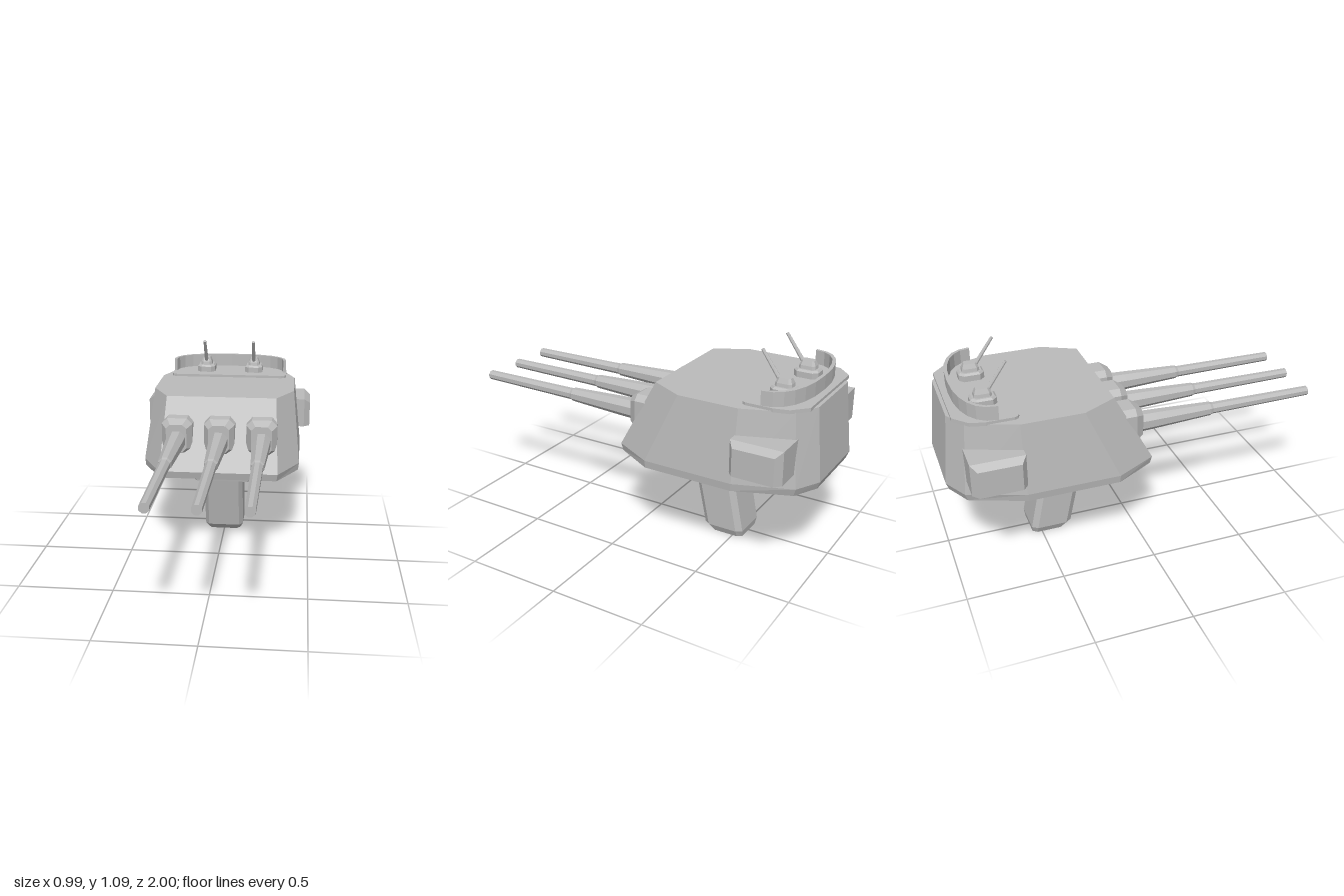
import * as THREE from 'three';

const steel = new THREE.MeshStandardMaterial({ color: 0xbababa, flatShading: true });
steel.name = 'steel grey';

// Closed solid through matching rings of [x, y, z] points, wound outwards.
function loft(name, rings) {
  const n = rings[0].length, tris = [];
  for (let k = 0; k < rings.length - 1; k++) {
    for (let i = 0; i < n; i++) {
      const j = (i + 1) % n;
      const a = rings[k][i], b = rings[k][j], c = rings[k + 1][j], d = rings[k + 1][i];
      tris.push([a, b, c], [a, c, d]);
    }
  }
  const first = rings[0], last = rings[rings.length - 1];
  for (let i = 1; i < n - 1; i++) {
    tris.push([first[0], first[i + 1], first[i]], [last[0], last[i], last[i + 1]]);
  }
  // Signed volume about a point of the solid decides the winding
  const [o, u, v, w] = [first[0], 0, 0, 0].map(() => new THREE.Vector3());
  o.fromArray(first[0]);
  let volume = 0;
  for (const [a, b, c] of tris) {
    u.fromArray(a).sub(o); v.fromArray(b).sub(o); w.fromArray(c).sub(o);
    volume += u.dot(v.cross(w));
  }
  if (volume < 0) tris.forEach(t => t.reverse());
  const geometry = new THREE.BufferGeometry();
  geometry.setAttribute('position', new THREE.Float32BufferAttribute(tris.flat(2), 3));
  geometry.computeVertexNormals();
  const mesh = new THREE.Mesh(geometry, steel);
  mesh.name = name;
  return mesh;
}

// Rectangle with cut corners as [u, v] pairs
function cutRect(u0, u1, v0, v1, cu, cv = cu) {
  return [[u0 + cu, v0], [u1 - cu, v0], [u1, v0 + cv], [u1, v1 - cv],
    [u1 - cu, v1], [u0 + cu, v1], [u0, v1 - cv], [u0, v0 + cv]];
}
const atY = (y, pts) => pts.map(([x, z]) => [x, y, z]);
const atZ = (z, pts) => pts.map(([x, y]) => [x, y, z]);
// Right half of an outline, completed by its mirror image
const mirrored = half => [...half, ...half.map(([x, z]) => [-x, z]).reverse()];

function octagon(r, cx = 0, cy = 0) {
  return Array.from({ length: 8 }, (_, i) => {
    const a = (i + 0.5) * Math.PI / 4;
    return [cx + r * Math.cos(a), cy + r * Math.sin(a)];
  });
}

// Armoured house with sloped faces and a bevelled lower edge
function makeHull() {
  const under = mirrored([[0.318, 0.04], [0.432, -0.165], [0.432, -0.64], [0.322, -0.918], [0.195, -0.985]]);
  const base = mirrored([[0.323, 0.05], [0.437, -0.165], [0.437, -0.645], [0.33, -0.93], [0.2, -1]]);
  const roof = mirrored([[0.303, -0.15], [0.397, -0.33], [0.397, -0.65], [0.305, -0.895], [0.19, -0.962]]);
  return loft('turretHouse', [atY(0.46, under), atY(0.5, base), atY(0.873, roof)]);
}

// Collar and raked stem below the house
function makeMount() {
  const group = new THREE.Group();
  group.name = 'mount';
  group.add(loft('collar', [
    atY(0.363, cutRect(-0.172, 0.172, -0.56, -0.2, 0.025, 0.045)),
    atY(0.47, cutRect(-0.196, 0.196, -0.58, -0.18, 0.033, 0.055)),
  ]));
  group.add(loft('stem', [
    atY(0, cutRect(-0.095, 0.095, -0.55, -0.37, 0.02, 0.025)),
    atY(0.037, cutRect(-0.112, 0.112, -0.555, -0.335, 0.022, 0.03)),
    atY(0.4, cutRect(-0.112, 0.112, -0.482, -0.257, 0.022, 0.03)),
  ]));
  return group;
}

// Mantlet and stepped barrel
function makeMainGun(x) {
  const group = new THREE.Group();
  group.name = 'mainGun';
  const block = (z, w, y0, y1, c) => atZ(z, cutRect(-w, w, y0, y1, c));
  group.add(loft('mantlet', [
    block(-0.14, 0.084, 0.577, 0.78, 0.03),
    block(-0.03, 0.084, 0.577, 0.78, 0.03),
    block(0.013, 0.056, 0.602, 0.755, 0.022),
  ]));
  const steps = [[-0.02, 0.055], [0.1, 0.051], [0.41, 0.037], [0.425, 0.031], [1, 0.026]];
  group.add(loft('barrel', steps.map(([z, r]) => atZ(z, octagon(r, 0, 0.668)))));
  group.position.x = x;
  return group;
}

// Bevelled box on the flank
function makeSideBox(side) {
  const ring = (x, y1, z0, z1) =>
    [[0.573, z0], [0.573, z1], [y1, z1], [y1, z0]].map(([y, z]) => [side * x, y, z]);
  return loft(side > 0 ? 'leftSideBox' : 'rightSideBox', [
    ring(0.27, 0.743, -0.915, -0.645),
    ring(0.46, 0.743, -0.915, -0.645),
    ring(0.494, 0.715, -0.885, -0.672),
  ]);
}

// Roof platform and its curved splinter shield
function makePlatform() {
  const group = new THREE.Group();
  group.name = 'roofPlatform';
  const outline = mirrored([[0.315, -0.633], [0.335, -0.642], [0.344, -0.66],
    [0.344, -0.80], [0.325, -0.875], [0.25, -0.945]]);
  group.add(loft('deck', [atY(0.868, outline), atY(0.887, outline)]));
  const sections = [];
  for (let i = 0; i <= 12; i++) {
    const a = Math.PI * i / 12;
    // flattened arc, thin in plan
    const x = Math.sign(Math.cos(a)) * Math.abs(Math.cos(a)) ** 0.85, z = Math.sin(a) ** 0.85;
    const outer = [0.342 * x, -0.735 - 0.178 * z], inner = [0.325 * x, -0.735 - 0.16 * z];
    sections.push([[outer[0], 0.88, outer[1]], [outer[0], 0.96, outer[1]],
      [inner[0], 0.96, inner[1]], [inner[0], 0.88, inner[1]]]);
  }
  group.add(loft('splinterShield', sections));
  return group;
}

// Small raised gun on a stepped pedestal
function makeSmallGun(x) {
  const group = new THREE.Group();
  group.name = 'smallGun';
  const tier = (y, w, d, c) => atY(y, cutRect(-w, w, -d, d, c));
  group.add(loft('pedestal', [tier(0.88, 0.053, 0.065, 0.024), tier(0.918, 0.053, 0.065, 0.024),
    tier(0.928, 0.044, 0.055, 0.02)]));
  group.add(loft('gunHousing', [tier(0.92, 0.035, 0.046, 0.014), tier(0.945, 0.031, 0.042, 0.012),
    tier(0.969, 0.021, 0.032, 0.009)]));
  const from = new THREE.Vector3(0, 0.94, 0.02), to = new THREE.Vector3(0, 1.088, 0.125);
  const barrel = new THREE.Mesh(new THREE.CylinderGeometry(0.0085, 0.0115, from.distanceTo(to), 8), steel);
  barrel.name = 'smallBarrel';
  barrel.position.copy(from).lerp(to, 0.5);
  barrel.quaternion.setFromUnitVectors(new THREE.Vector3(0, 1, 0), to.clone().sub(from).normalize());
  group.add(barrel);
  group.position.set(x, 0, -0.77);
  return group;
}

export function createModel() {
  const model = new THREE.Group();
  model.name = 'gunTurret';
  model.add(makeHull(), makeMount(), makePlatform());
  for (const x of [-0.231, 0, 0.231]) model.add(makeMainGun(x));
  for (const side of [-1, 1]) model.add(makeSideBox(side), makeSmallGun(side * 0.145));
  return model;
}
